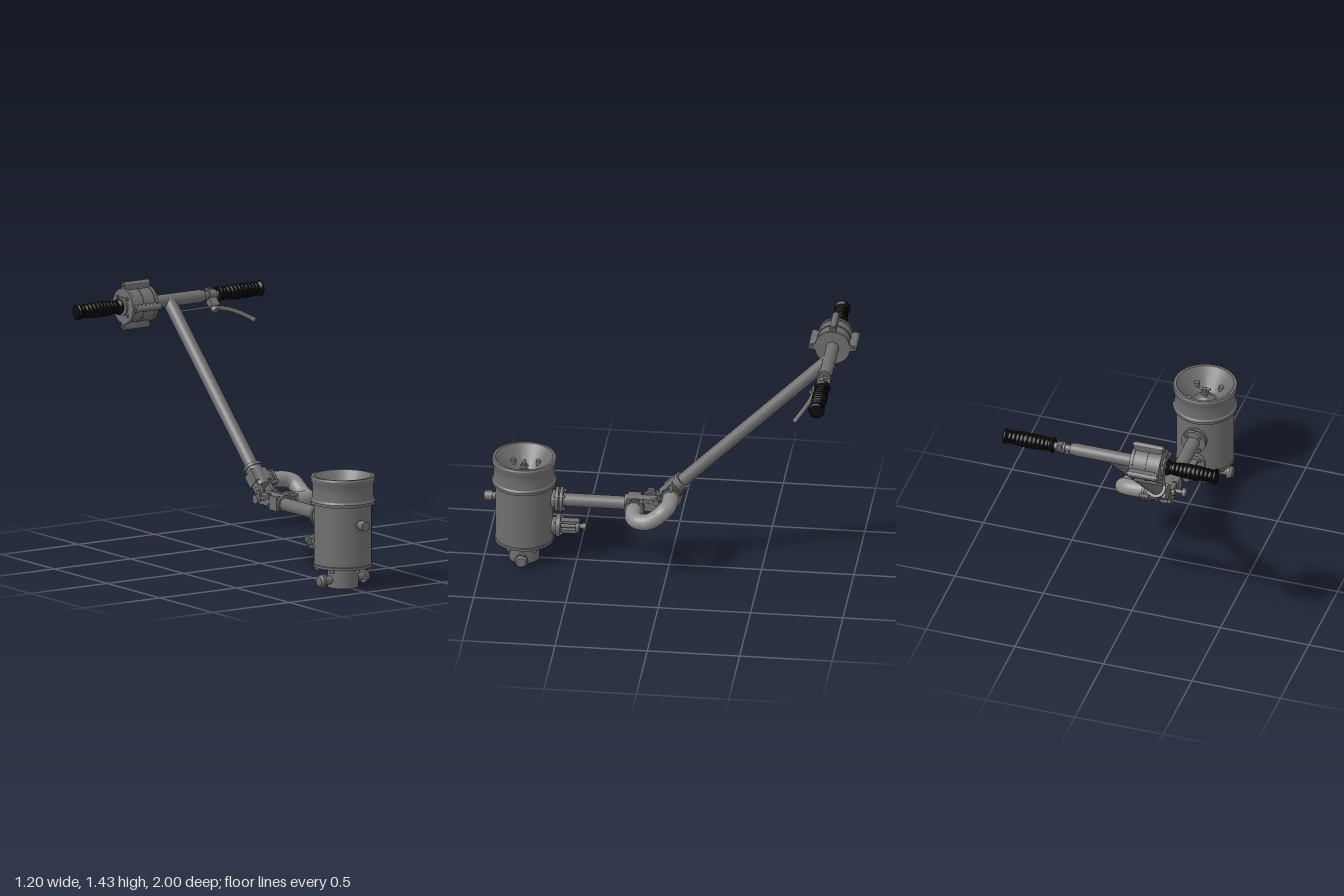
import * as THREE from 'three';
import { toCreasedNormals } from 'three/addons/utils/BufferGeometryUtils.js';

const V = (x, y, z) => new THREE.Vector3(x, y, z);

export function createModel() {
  const model = new THREE.Group();
  model.name = 'handCart';
  const material = (name, color) => {
    const m = new THREE.MeshStandardMaterial({ color });
    m.name = name;
    return m;
  };
  const metal = material('greyMetal', 0x6e6e6e);
  const pipe = material('lightPipe', 0x8c8c8c);
  const rubber = material('blackRubber', 0x0b0b0b);

  const add = (name, geo, mat = metal, parent = model) => {
    const mesh = new THREE.Mesh(geo, mat);
    mesh.name = name;
    parent.add(mesh);
    return mesh;
  };
  // Round rod between two points
  const rod = (name, a, b, r, mat = metal, r2 = r, sides = 28) => {
    const mesh = add(name, new THREE.CylinderGeometry(r2, r, a.distanceTo(b), sides), mat);
    mesh.position.copy(a).lerp(b, 0.5);
    mesh.quaternion.setFromUnitVectors(V(0, 1, 0), b.clone().sub(a).normalize());
    return mesh;
  };
  const box = (name, w, h, d, x, y, z, rx = 0) => {
    const mesh = add(name, new THREE.BoxGeometry(w, h, d));
    mesh.position.set(x, y, z);
    mesh.rotation.x = rx;
    return mesh;
  };
  const lathe = (name, pts, mat = metal, segs = 48) => add(name,
    toCreasedNormals(new THREE.LatheGeometry(pts.map(p => new THREE.Vector2(...p)), segs), 0.55), mat);

  // ---- Canister with funnel top ----
  const CZ = 0.784;
  lathe('canister', [
    [0, 0.114], [0.16, 0.114], [0.16, 0.127], [0.155, 0.13], [0.155, 0.456], [0.174, 0.458],
    [0.175, 0.474], [0.167, 0.485], [0.165, 0.53], [0.167, 0.57], [0.174, 0.582], [0.175, 0.6],
    [0.17, 0.609], [0.155, 0.609], [0.14, 0.59], [0.065, 0.5], [0.055, 0.5], [0.02, 0.525], [0, 0.525],
  ]).position.z = CZ;
  rod('funnelStem', V(0, 0.52, CZ), V(0, 0.575, CZ), 0.012);
  rod('funnelNut', V(0, 0.545, CZ), V(0, 0.56, CZ), 0.022, metal, 0.022, 6);
  rod('funnelLever', V(-0.03, 0.57, CZ), V(0.03, 0.57, CZ), 0.007);
  for (const sx of [-1, 1]) for (const sz of [-1, 1]) {
    rod('funnelBolt', V(0.07 * sx, 0.52, CZ + 0.07 * sz), V(0.07 * sx, 0.552, CZ + 0.07 * sz), 0.016, metal, 0.016, 6);
  }
  for (let i = 0; i < 6; i++) {
    const a = i * Math.PI / 3 + Math.PI / 6;
    const x = 0.138 * Math.cos(a), z = CZ + 0.138 * Math.sin(a);
    rod('baseBolt', V(x, 0.094, z), V(x, 0.116, z), 0.013, metal, 0.013, 6);
  }

  // Hollow spout with two side knobs
  lathe('spout', [[0.062, 0.1], [0.062, 0], [0.083, 0], [0.083, 0.115]]).position.z = CZ;
  for (const s of [-1, 1]) {
    rod('spoutKnobStem', V(s * 0.07, 0.043, CZ), V(s * 0.135, 0.043, CZ), 0.022);
    rod('spoutKnobRim', V(s * 0.128, 0.043, CZ), V(s * 0.142, 0.043, CZ), 0.037);
    rod('spoutKnobCap', V(s * 0.142, 0.043, CZ), V(s * 0.158, 0.043, CZ), 0.034, metal, 0.026);
  }
  // Front knob
  rod('frontKnobStem', V(0, 0.36, 0.93), V(0, 0.36, 0.965), 0.021);
  rod('frontKnob', V(0, 0.36, 0.955), V(0, 0.36, 1.0), 0.028, metal, 0.026);

  // ---- Rear flange, lower pipe and drain valve ----
  rod('pipeBoss', V(0, 0.36, 0.66), V(0, 0.36, 0.6), 0.05);
  rod('pipeFlangeInner', V(0, 0.36, 0.612), V(0, 0.36, 0.595), 0.069);
  rod('pipeFlangeOuter', V(0, 0.36, 0.588), V(0, 0.36, 0.571), 0.069);
  rod('lowerPipe', V(0, 0.36, 0.6), V(0, 0.36, 0.2), 0.036);
  rod('valveBoss', V(0, 0.203, 0.66), V(0, 0.203, 0.6), 0.045);
  rod('valveFlange', V(0, 0.203, 0.61), V(0, 0.203, 0.585), 0.062);
  for (let i = 0; i < 4; i++) {
    const a = i * Math.PI / 2 + Math.PI / 4, c = Math.cos(a), s = Math.sin(a);
    rod('flangeBolt', V(0.053 * c, 0.36 + 0.053 * s, 0.62), V(0.053 * c, 0.36 + 0.053 * s, 0.56), 0.009, metal, 0.009, 6);
    rod('valveBolt', V(0.047 * c, 0.203 + 0.047 * s, 0.62), V(0.047 * c, 0.203 + 0.047 * s, 0.574), 0.008, metal, 0.008, 6);
  }
  for (const s of [-1, 1]) box('valveYokeArm', 0.045, 0.016, 0.1, 0, 0.203 + s * 0.027, 0.537);
  rod('valveYokeEnd', V(0, 0.203, 0.502), V(0, 0.203, 0.484), 0.036);
  rod('valveStem', V(0, 0.203, 0.6), V(0, 0.203, 0.46), 0.013);
  rod('valveKnob', V(0, 0.203, 0.468), V(0, 0.203, 0.448), 0.019);

  // ---- Hinge joint and side bypass pipe ----
  const top = V(0, 1.303, -0.868), foot = V(0, 0.44, 0.005);
  const along = t => foot.clone().lerp(top, t);
  const tilt = Math.atan2(top.y - foot.y, -(top.z - foot.z));
  rod('lowerClamp', V(0, 0.365, 0.24), V(0, 0.365, 0.06), 0.045);
  rod('upperClamp', along(-0.02), along(0.09), 0.045);
  rod('upperClampRing', along(0.078), along(0.092), 0.052);
  const block = along(0.03);
  box('upperBlock', 0.098, 0.08, 0.075, 0, block.y, block.z, tilt);
  box('lowerBlock', 0.098, 0.08, 0.07, 0, 0.365, 0.19);
  for (const s of [-1, 1]) {
    box('hingeEar', 0.02, 0.07, 0.1, s * 0.036, 0.375, 0.09);
    box('hingeArm', 0.018, 0.055, 0.13, s * 0.034, 0.4, 0.045, tilt);
    rod('hingeBolt', V(s * 0.03, 0.4, 0.065), V(s * 0.06, 0.4, 0.065), 0.018, metal, 0.018, 6);
  }
  rod('hingePin', V(0.05, 0.38, 0.11), V(-0.1, 0.38, 0.11), 0.012);
  rod('hingeKnob', V(-0.09, 0.38, 0.11), V(-0.11, 0.38, 0.11), 0.024);
  const ends = [V(0, 0.365, 0.18), V(0, 0.445, -0.018)];
  ends.forEach((p, i) => {
    rod('bypassSocket', p, V(0.09, p.y, p.z), 0.04);
    for (const x of [0.05, 0.074]) rod('bypassFlange', V(x, p.y, p.z), V(x + 0.014, p.y, p.z), 0.054);
    for (let k = 0; k < 4; k++) {
      const a = k * Math.PI / 2 + Math.PI / 4 + i * tilt;
      const y = p.y + 0.05 * Math.sin(a), z = p.z + 0.05 * Math.cos(a);
      rod('bypassBolt', V(0.045, y, z), V(0.094, y, z), 0.011, metal, 0.011, 6);
    }
  });
  const bend = new THREE.CatmullRomCurve3([
    V(0.07, 0.365, 0.18), V(0.13, 0.365, 0.18), V(0.175, 0.363, 0.172), V(0.211, 0.362, 0.138), V(0.22, 0.368, 0.09),
    V(0.22, 0.395, 0.045), V(0.211, 0.425, 0.01), V(0.175, 0.44, -0.013), V(0.13, 0.445, -0.018), V(0.07, 0.445, -0.018),
  ]);
  add('bypassPipe', new THREE.TubeGeometry(bend, 60, 0.044, 28), pipe);

  // ---- Steering column and handlebar ----
  rod('column', along(0.02), top, 0.036);
  const BY = 1.303, BZ = -0.868;
  const onBar = (x, dy = 0, dz = 0) => V(x, BY + dy, BZ + dz);
  rod('handlebar', onBar(-0.16), onBar(0.205), 0.035);
  rod('handlebarCollar', onBar(0.202), onBar(0.224), 0.032);
  rod('rightBarEnd', onBar(0.22), onBar(0.34), 0.019);
  rod('leftBarEnd', onBar(-0.34), onBar(-0.28), 0.022);

  // Ribbed grips, with a flare at both ends
  const gripPts = [[0, 0], [0.04, 0], [0.044, 0.008], [0.04, 0.016], [0.034, 0.022]];
  for (let i = 0; i < 10; i++) {
    const y = 0.03 + i * 0.023;
    const r = 0.035 + 0.007 * Math.sin(Math.PI * (i + 0.5) / 10);
    gripPts.push([r - 0.003, y], [r, y + 0.004], [r, y + 0.016], [r - 0.003, y + 0.02]);
  }
  gripPts.push([0.036, 0.262], [0.044, 0.27], [0.044, 0.278], [0.036, 0.284], [0, 0.284]);
  for (const s of [-1, 1]) {
    const grip = lathe('grip', gripPts, rubber, 28);
    grip.position.copy(onBar(s * 0.318));
    grip.rotation.z = -s * Math.PI / 2;
  }

  // ---- Drum housing on the bar, with four bolted lugs ----
  rod('drumBody', onBar(-0.29), onBar(-0.14), 0.09, metal, 0.09, 40);
  for (const x of [-0.298, -0.148]) rod('drumEndPlate', onBar(x), onBar(x + 0.018), 0.096, metal, 0.096, 40);
  rod('drumSeam', onBar(-0.222), onBar(-0.212), 0.094, metal, 0.094, 40);
  rod('drumCap', onBar(-0.31), onBar(-0.29), 0.05);
  for (let i = 0; i < 4; i++) {
    const a = i * Math.PI / 2, c = Math.cos(a), s = Math.sin(a);
    rod('drumLug', onBar(-0.297, 0.114 * s, 0.114 * c), onBar(-0.133, 0.114 * s, 0.114 * c), 0.017);
    rod('drumBolt', onBar(-0.305, 0.114 * s, 0.114 * c), onBar(-0.125, 0.114 * s, 0.114 * c), 0.01, metal, 0.01, 6);
    const fin = box('drumFin', 0.16, 0.034, 0.05, -0.215, BY + 0.094 * s, BZ + 0.094 * c);
    fin.rotation.x = -a;
    const b = a + Math.PI / 4, e = 0.065;
    rod('drumCapScrew', onBar(-0.306, e * Math.sin(b), e * Math.cos(b)), onBar(-0.29, e * Math.sin(b), e * Math.cos(b)), 0.009, metal, 0.009, 6);
  }

  // ---- Brake lever, bracket and cable rod ----
  rod('brakeClamp', onBar(0.255), onBar(0.3), 0.029);
  box('brakeClampTab', 0.022, 0.03, 0.04, 0.278, BY + 0.02, BZ - 0.02);
  box('brakeBracket', 0.05, 0.05, 0.04, 0.268, 1.262, -0.835, -0.75);
  rod('brakePivot', V(0.262, 1.258, -0.835), V(0.262, 1.226, -0.803), 0.02);
  const lever = new THREE.CatmullRomCurve3([
    V(0.25, 1.242, -0.82), V(0.3, 1.236, -0.812), V(0.36, 1.222, -0.797), V(0.42, 1.196, -0.768), V(0.465, 1.168, -0.738),
  ]);
  add('brakeLever', new THREE.TubeGeometry(lever, 24, 0.012, 12));
  const tip = add('brakeLeverTip', new THREE.SphereGeometry(0.014, 16, 12));
  tip.position.set(0.465, 1.168, -0.738);
  rod('brakeRod', V(0.02, 1.246, -0.818), V(0.25, 1.246, -0.824), 0.006, metal, 0.006, 12);

  return model;
}
